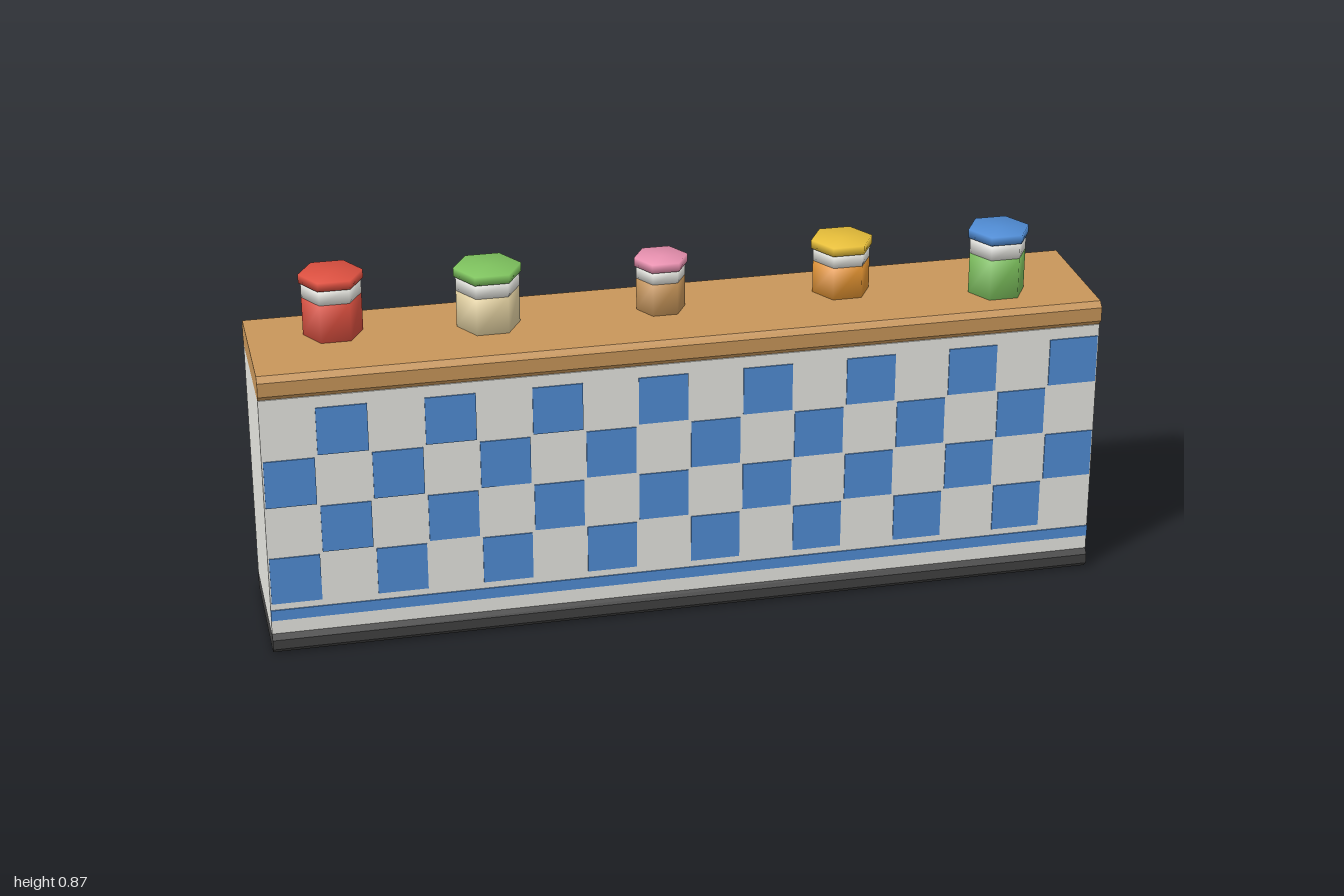
import * as THREE from 'three';
import { mergeVertices } from 'three/addons/utils/BufferGeometryUtils.js';

const mat = (name, color) => {
  const m = new THREE.MeshStandardMaterial({ color });
  m.name = name;
  return m;
};

export function createModel() {
  const white = mat('offWhite', 0xe8e8e2);
  const blue = mat('blue', 0x508cd4);
  const wood = mat('wood', 0xc8965a);
  const dark = mat('darkPlinth', 0x404040);
  const red = mat('red', 0xdc5040);
  const green = mat('green', 0x7ec25e);
  const beige = mat('beige', 0xe4d2a2);
  const pink = mat('pink', 0xf096b6);
  const orange = mat('orange', 0xe49432);
  const gold = mat('gold', 0xeec43c);

  const model = new THREE.Group();
  model.name = 'shopCounter';
  const add = (parent, name, geometry, material, x = 0, y = 0, z = 0) => {
    const mesh = new THREE.Mesh(geometry, material);
    mesh.name = name;
    mesh.position.set(x, y, z);
    parent.add(mesh);
    return mesh;
  };

  // Full-length slab with chamfered long edges
  const slab = (height) => {
    const w = 0.175, c = 0.013;
    const shape = new THREE.Shape([
      [-w + c, 0], [w - c, 0], [w, c], [w, height - c],
      [w - c, height], [-w + c, height], [-w, height - c], [-w, c],
    ].map(([x, y]) => new THREE.Vector2(x, y)));
    return new THREE.ExtrudeGeometry(shape, { depth: 2, bevelEnabled: false })
      .translate(0, 0, -1).rotateY(Math.PI / 2);
  };
  add(model, 'plinth', slab(0.05), dark);
  add(model, 'body', new THREE.BoxGeometry(2, 0.6, 0.33), white, 0, 0.35, 0);
  add(model, 'countertop', slab(0.06), wood, 0, 0.65, 0);

  // Checker tiles and stripe on the front and back
  const tile = new THREE.BoxGeometry(0.118, 0.118, 0.004);
  const stripe = new THREE.BoxGeometry(2, 0.027, 0.004);
  for (const side of [1, -1]) {
    const panel = new THREE.Group();
    panel.name = side > 0 ? 'frontTiles' : 'backTiles';
    panel.position.z = side * 0.166;
    model.add(panel);
    for (let row = 0; row < 4; row++) {
      for (let col = (row + 1) % 2; col < 16; col += 2) {
        add(panel, 'tile', tile, blue, -0.9375 + col * 0.125, 0.562 - row * 0.1245, 0);
      }
    }
    add(panel, 'stripe', stripe, blue, 0, 0.099, 0);
  }

  // Six-sided prism with shared corners, so its shading is smooth
  const hexPrism = (radius, height) => {
    const g = new THREE.CylinderGeometry(radius, radius, height, 6, 1, false, Math.PI / 6);
    g.deleteAttribute('normal');
    g.deleteAttribute('uv');
    const merged = mergeVertices(g.translate(0, height / 2, 0));
    merged.computeVertexNormals();
    return merged;
  };

  // Jars: x, z, lid radius, height below lid, lid and contents colours
  const jars = [
    [-0.80, -0.05, 0.075, 0.13, red, red],
    [-0.44, -0.02, 0.08, 0.126, green, beige],
    [-0.027, -0.028, 0.064, 0.11, pink, wood],
    [0.416, -0.04, 0.075, 0.112, gold, orange],
    [0.778, 0.043, 0.0745, 0.14, blue, green],
  ];
  for (const [x, z, r, h, lidMat, fillMat] of jars) {
    const jar = new THREE.Group();
    jar.name = 'jar';
    jar.position.set(x, 0.71, z);
    model.add(jar);
    const fill = h * 0.72;
    add(jar, 'contents', hexPrism(r - 0.005, fill), fillMat);
    add(jar, 'glass', hexPrism(r - 0.005, h - fill), white, 0, fill, 0);
    add(jar, 'lid', hexPrism(r, 0.021), lidMat, 0, h, 0);
  }
  return model;
}
